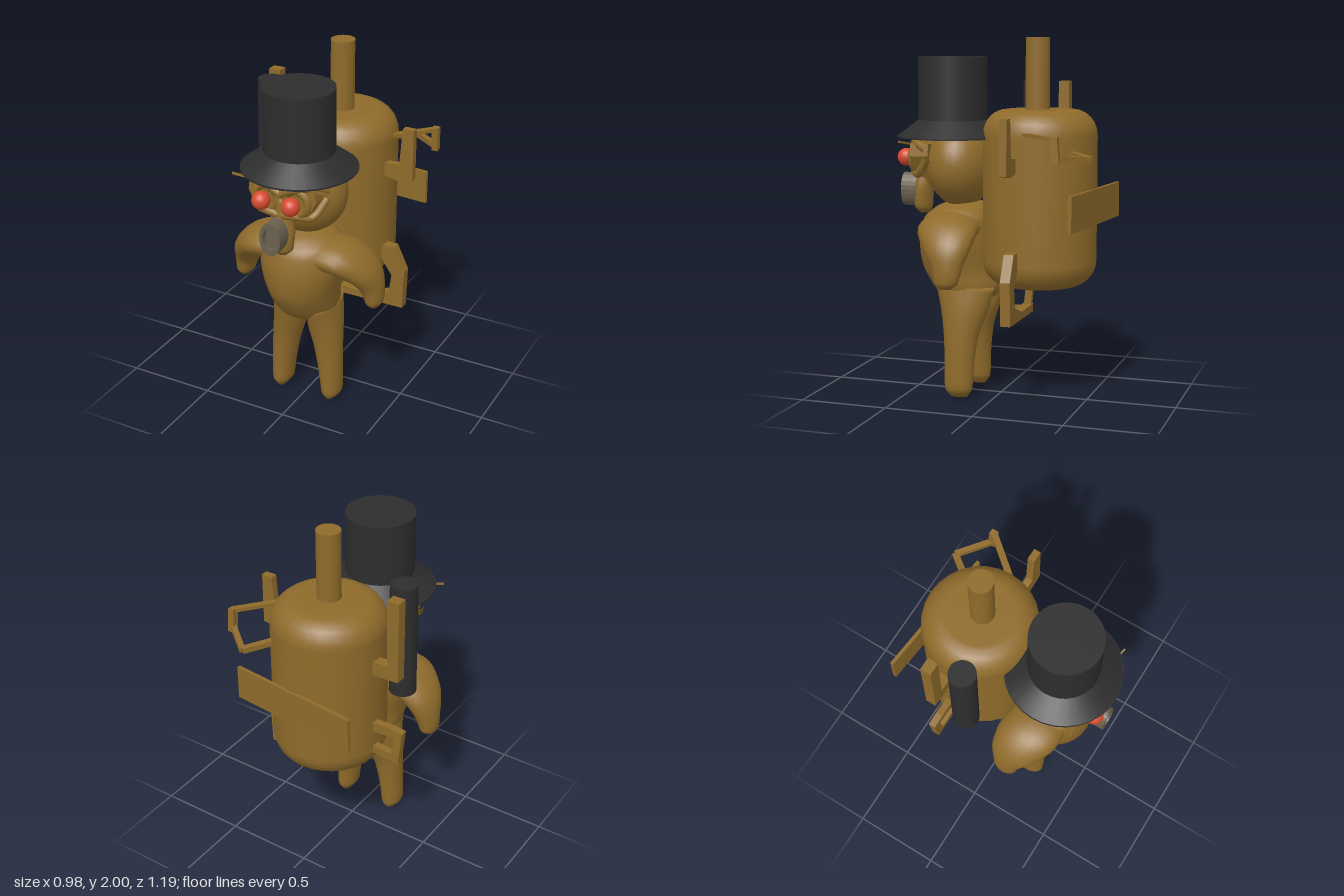
import * as THREE from 'three';

const mat = (name, color) => {
  const m = new THREE.MeshStandardMaterial({ color });
  m.name = name;
  return m;
};

// Smooth closed skin through oval sections [x, y, z, halfWidth, halfDepth]
function loft(sections, steps = 24, sides = 20) {
  const centre = new THREE.CatmullRomCurve3(sections.map(s => new THREE.Vector3(s[0], s[1], s[2])));
  const size = new THREE.CatmullRomCurve3(sections.map(s => new THREE.Vector3(s[3], s[4], 0)));
  const pos = [], idx = [];
  for (let i = 0; i <= steps; i++) {
    const c = centre.getPoint(i / steps), r = size.getPoint(i / steps);
    const t = centre.getTangent(i / steps).setZ(0).normalize();
    for (let j = 0; j < sides; j++) {
      const a = (j / sides) * Math.PI * 2, u = Math.cos(a) * r.x;
      pos.push(c.x + t.y * u, c.y - t.x * u, c.z + Math.sin(a) * r.y);
    }
  }
  const first = sections[0], last = sections[sections.length - 1];
  const n = (steps + 1) * sides;
  pos.push(...first.slice(0, 3), ...last.slice(0, 3));
  for (let j = 0; j < sides; j++) {
    const k = (j + 1) % sides;
    for (let i = 0; i < steps; i++) {
      const p = i * sides, q = p + sides;
      idx.push(p + j, q + j, p + k, p + k, q + j, q + k);
    }
    idx.push(n, j, k, n + 1, steps * sides + k, steps * sides + j);
  }
  const g = new THREE.BufferGeometry();
  g.setAttribute('position', new THREE.Float32BufferAttribute(pos, 3));
  g.setIndex(idx);
  g.computeVertexNormals();
  return g;
}

// Flat plate cut in the front plane, from z0 to z1
function plate(points, z0, z1) {
  const shape = new THREE.Shape(points.map(p => new THREE.Vector2(p[0], p[1])));
  return new THREE.ExtrudeGeometry(shape, { depth: z1 - z0, bevelEnabled: false }).translate(0, 0, z0);
}

export function createModel() {
  const root = new THREE.Group();
  const brass = mat('brass brown', 0x8f6b2b);
  const black = mat('hat black', 0x2d2d2d);
  const red = mat('eye red', 0xd64a2f);
  const grey = mat('nozzle grey', 0x6a604e);

  const add = (name, geo, m, x = 0, y = 0, z = 0) => {
    const mesh = new THREE.Mesh(geo, m);
    mesh.name = name;
    mesh.position.set(x, y, z);
    root.add(mesh);
    return mesh;
  };
  // Straight bar between two points
  const bar = (name, a, b, w, h) => {
    const p = new THREE.Vector3(...a), q = new THREE.Vector3(...b);
    const mid = p.clone().add(q).multiplyScalar(0.5);
    add(name, new THREE.BoxGeometry(w, h, p.distanceTo(q)), brass, mid.x, mid.y, mid.z).lookAt(q);
  };
  const tube = (name, pts, r) => add(name, new THREE.TubeGeometry(
    new THREE.CatmullRomCurve3(pts.map(p => new THREE.Vector3(...p))), 16, r, 8), brass);

  // Body
  add('torso', loft([
    [0, 0.53, 0.19, 0.09, 0.09], [0, 0.56, 0.19, 0.16, 0.16], [0, 0.62, 0.2, 0.185, 0.2],
    [0, 0.72, 0.235, 0.2, 0.22], [0, 0.87, 0.245, 0.235, 0.225], [0, 1.0, 0.235, 0.235, 0.205],
    [0, 1.06, 0.22, 0.17, 0.15], [0, 1.09, 0.21, 0.09, 0.09]], 28, 28), brass);
  for (const s of [1, -1]) {
    const side = s > 0 ? 'left' : 'right';
    add(side + 'Leg', loft([
      [s * 0.155, 0.003, 0.2, 0.022, 0.05], [s * 0.158, 0.05, 0.2, 0.056, 0.08],
      [s * 0.148, 0.2, 0.198, 0.066, 0.085], [s * 0.132, 0.35, 0.193, 0.078, 0.1],
      [s * 0.108, 0.5, 0.18, 0.09, 0.14], [s * 0.1, 0.62, 0.18, 0.08, 0.17]]), brass);
    add(side + 'Arm', loft([
      [s * 0.1, 0.96, 0.24, 0.09, 0.16], [s * 0.25, 0.95, 0.23, 0.09, 0.17],
      [s * 0.355, 0.87, 0.2, 0.08, 0.135], [s * 0.395, 0.77, 0.18, 0.062, 0.085],
      [s * 0.407, 0.69, 0.18, 0.047, 0.065], [s * 0.408, 0.66, 0.185, 0.02, 0.03]]), brass);
  }

  // Head
  add('head', new THREE.SphereGeometry(1, 32, 24), brass, 0, 1.3, 0.23).scale.set(0.25, 0.24, 0.19);

  // Face mask: eye rings, brows and cheek ridges around a plate
  const half = [[0, 1.37], [0.07, 1.41], [0.19, 1.42], [0.2, 1.35], [0.15, 1.26], [0.07, 1.25], [0.03, 1.17]];
  const outline = [...half, ...half.slice(1).reverse().map(([x, y]) => [-x, y])];
  add('maskPlate', plate(outline.reverse(), 0.36, 0.465), brass);
  for (const s of [1, -1]) {
    const side = s > 0 ? 'left' : 'right';
    add(side + 'Eye', new THREE.SphereGeometry(0.05, 20, 16), red, s * 0.088, 1.335, 0.53);
    add(side + 'EyeRing', new THREE.TorusGeometry(0.065, 0.022, 10, 24), brass, s * 0.09, 1.335, 0.47);
    tube(side + 'Brow', [[0, 1.37, 0.48], [s * 0.08, 1.41, 0.48], [s * 0.16, 1.42, 0.44], [s * 0.215, 1.39, 0.36]], 0.024);
    tube(side + 'Cheek', [[s * 0.01, 1.25, 0.48], [s * 0.09, 1.26, 0.48], [s * 0.16, 1.25, 0.43], [s * 0.21, 1.34, 0.36]], 0.022);
    bar(side + 'BrowSpike', [s * 0.14, 1.41, 0.46], [s * 0.28, 1.435, 0.495], 0.008, 0.012);
  }

  // Snout and its open nozzle
  add('snout', loft([
    [-0.005, 1.015, 0.46, 0.03, 0.025], [-0.005, 1.05, 0.465, 0.065, 0.05],
    [-0.005, 1.15, 0.46, 0.075, 0.05], [0, 1.25, 0.455, 0.05, 0.045], [0, 1.34, 0.45, 0.03, 0.04]], 16, 16), brass);
  const nozzle = add('nozzle', new THREE.LatheGeometry([
    [0, 0], [0.062, 0], [0.062, 0.09], [0.042, 0.09], [0.042, 0.06], [0, 0.06],
  ].map(p => new THREE.Vector2(...p)), 24), grey, -0.01, 1.145, 0.492);
  nozzle.geometry = nozzle.geometry.toNonIndexed();
  nozzle.geometry.computeVertexNormals();
  nozzle.rotation.x = Math.PI / 2;
  nozzle.scale.z = 1.53;

  // Top hat
  add('hatCrown', new THREE.CylinderGeometry(0.192, 0.192, 0.36, 32), black, 0.005, 1.714, 0.282);
  add('hatBrim', new THREE.CylinderGeometry(0.19, 0.31, 0.09, 32), black, 0.005, 1.502, 0.282);
  add('hatLip', new THREE.CylinderGeometry(0.314, 0.314, 0.008, 32), black, 0.005, 1.453, 0.282);

  // Backpack boiler with rounded ends and a chimney
  const profile = [new THREE.Vector2(0, 0.64)];
  for (const [cy, start] of [[0.78, -90], [1.47, 0]])
    for (let i = 0; i <= 6; i++) {
      const a = THREE.MathUtils.degToRad(start + i * 15);
      profile.push(new THREE.Vector2(0.185 + 0.13 * Math.cos(a), cy + 0.14 * Math.sin(a)));
    }
  profile.push(new THREE.Vector2(0, 1.61));
  add('boiler', new THREE.LatheGeometry(profile, 28), brass, -0.005, 0, -0.222);
  add('chimney', new THREE.CylinderGeometry(0.066, 0.066, 0.45, 24), brass, 0.003, 1.775, -0.21);

  // Rear plank
  add('rearPlank', new THREE.BoxGeometry(0.77, 0.195, 0.02), brass, 0.016, 1.088, -0.538).rotation.y = -0.097;

  // Right side: dark pipe, its post and the lower handle
  add('sidePipe', new THREE.CylinderGeometry(0.073, 0.073, 0.65, 24), black, -0.38, 1.425, -0.087).rotation.z = -0.012;
  add('rightPost', plate([
    [-0.28, 1.27], [-0.28, 1.35], [-0.4, 1.36], [-0.395, 1.75], [-0.465, 1.75], [-0.468, 1.28]], -0.277, -0.217), brass);
  add('rightHandle', plate([
    [-0.28, 0.96], [-0.42, 0.965], [-0.497, 0.955], [-0.475, 0.755], [-0.28, 0.76], [-0.28, 0.81],
    [-0.43, 0.8], [-0.445, 0.91], [-0.28, 0.9]], -0.268, -0.228), brass);

  // Left side: lower frame, upper post and the bent strap
  add('leftFrame', plate([
    [0.01, 0.485], [0.43, 0.485], [0.437, 0.72], [0.37, 0.86], [0.28, 0.86], [0.29, 0.78],
    [0.36, 0.68], [0.345, 0.57], [0.22, 0.525], [0.01, 0.53]], -0.19, -0.135), brass);
  bar('frameFoot', [0.02, 0.5, -0.15], [0.02, 0.5, -0.07], 0.03, 0.03);
  bar('frameStay', [0.02, 0.495, -0.075], [0.02, 0.6, -0.03], 0.03, 0.03);
  bar('frameRoot', [0.02, 0.49, -0.16], [0.02, 0.68, -0.18], 0.03, 0.04);
  add('leftPost', plate([
    [0.28, 1.29], [0.38, 1.27], [0.465, 1.285], [0.465, 1.58], [0.4, 1.58], [0.385, 1.37], [0.28, 1.36]], -0.18, -0.14), brass);
  bar('strapFront', [0.28, 1.49, -0.21], [0.47, 1.485, -0.435], 0.035, 0.02);
  bar('strapDrop', [0.468, 1.495, -0.435], [0.468, 1.36, -0.445], 0.035, 0.04);
  bar('strapOuter', [0.475, 1.385, -0.435], [0.3, 1.37, -0.58], 0.03, 0.03);
  bar('strapRear', [0.3, 1.37, -0.58], [0.19, 1.39, -0.44], 0.035, 0.03);

  return root;
}
